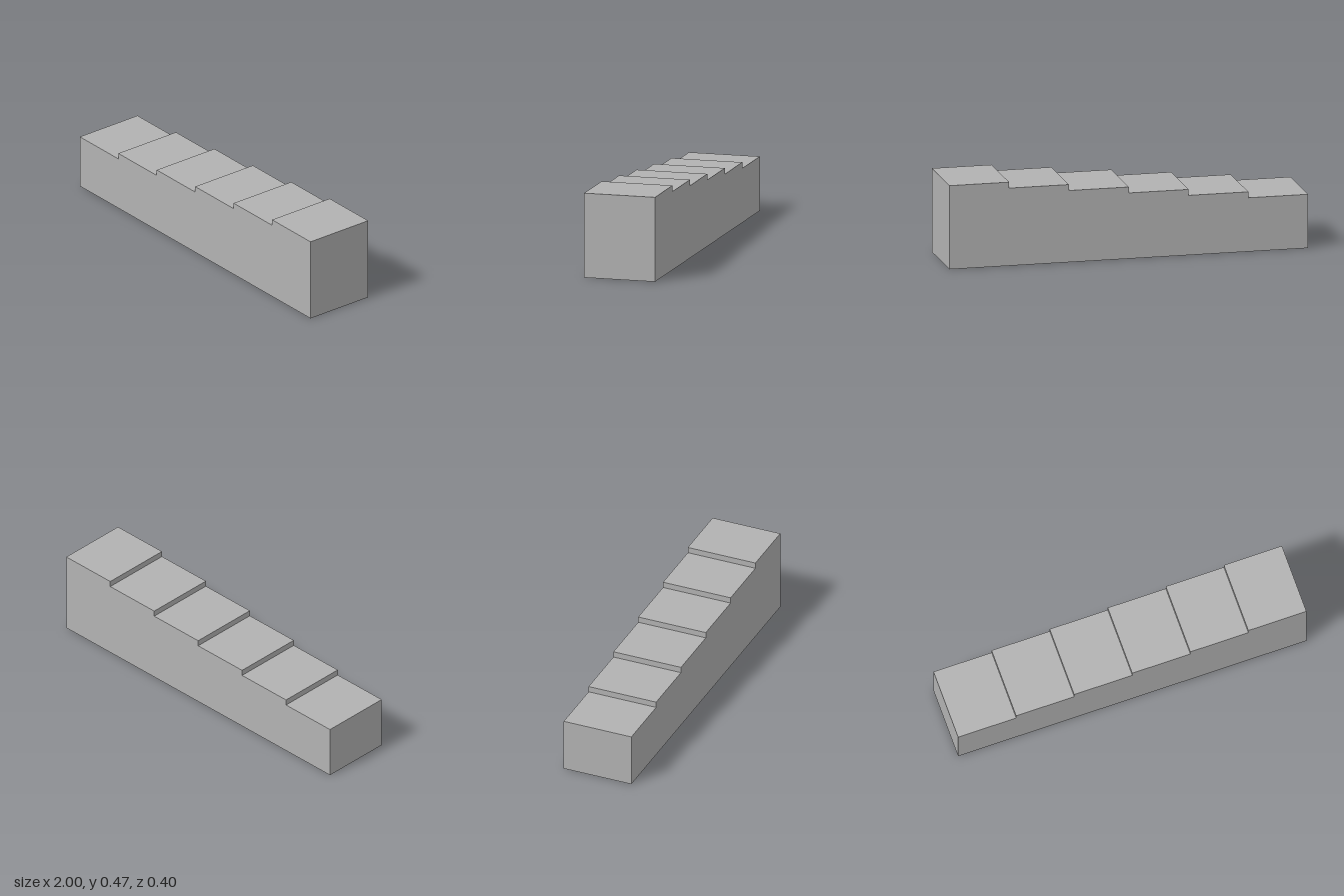
import * as THREE from 'three';

const STEPS = 6, LENGTH = 2, DEPTH = 0.4, LOW = 0.3, RISE = 1 / 30;

export function createModel() {
  const group = new THREE.Group();
  group.name = 'steppedBlock';
  const grey = new THREE.MeshStandardMaterial({ color: 0xb2b2b2 });
  grey.name = 'grey';

  // Side profile: flat base, steps rising towards +x
  const profile = new THREE.Shape();
  const run = LENGTH / STEPS;
  profile.moveTo(-LENGTH / 2, 0);
  profile.lineTo(LENGTH / 2, 0);
  for (let i = STEPS - 1; i >= 0; i--) {
    const x = -LENGTH / 2 + i * run, y = LOW + i * RISE;
    profile.lineTo(x + run, y);
    profile.lineTo(x, y);
  }
  profile.closePath();

  // Solid staircase, centred in z
  const geometry = new THREE.ExtrudeGeometry(profile, { depth: DEPTH, bevelEnabled: false });
  geometry.translate(0, 0, -DEPTH / 2);
  const stairs = new THREE.Mesh(geometry, grey);
  stairs.name = 'stairs';
  group.add(stairs);
  return group;
}
